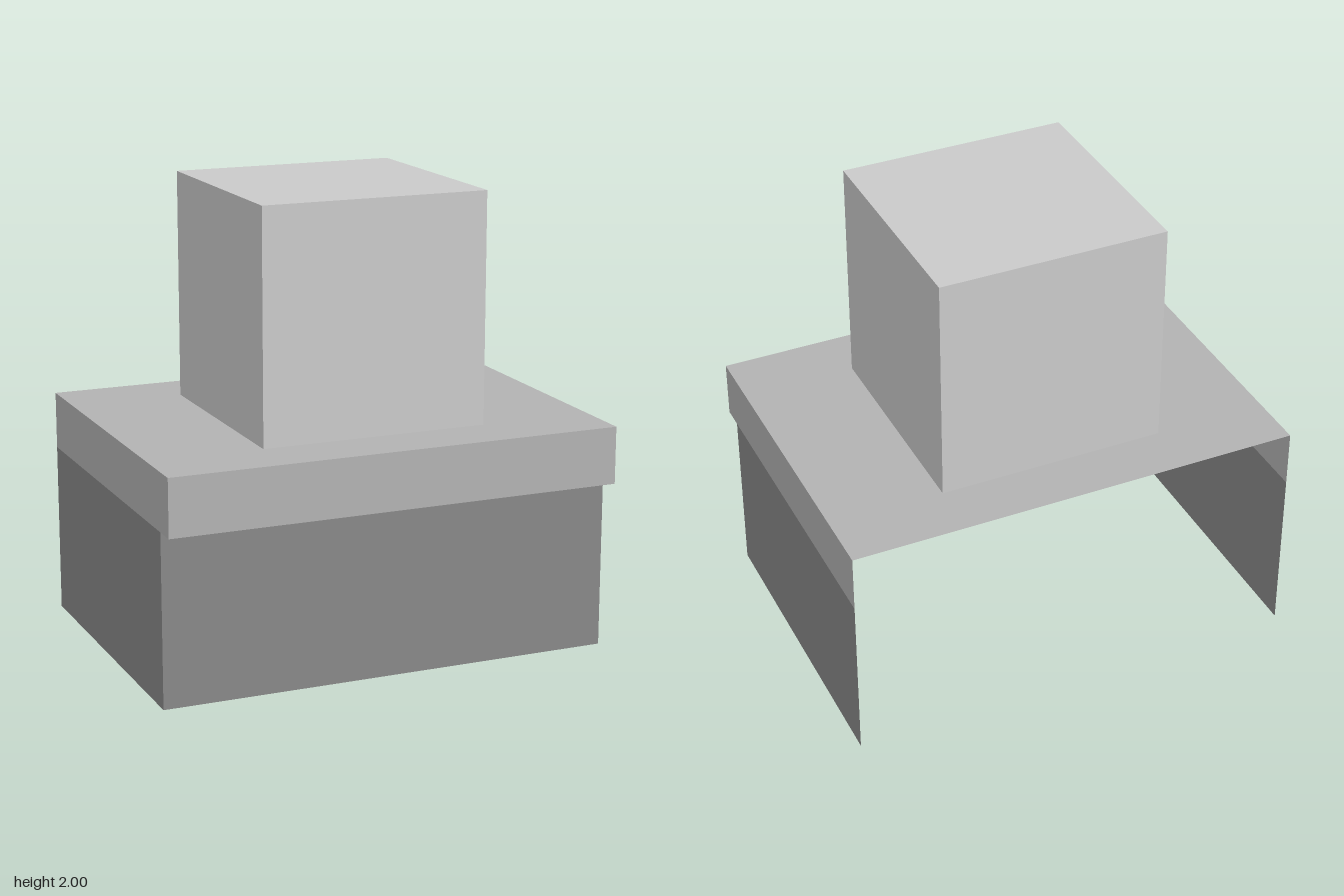
import * as THREE from 'three';

const material = (name, color) =>
  new THREE.MeshStandardMaterial({ name, color, side: THREE.DoubleSide });

export function createModel() {
  const lightGrey = material('light grey', 0xc9c9c9);
  const midGrey = material('mid grey', 0xb2b2b2);
  const darkGrey = material('dark grey', 0x888888);

  const model = new THREE.Group();
  model.name = 'openBackDesk';

  // Thin sheet of size w by h, centred at a position and turned about x and y
  function panel(name, mat, w, h, [x, y, z], rx = 0, ry = 0) {
    const mesh = new THREE.Mesh(new THREE.PlaneGeometry(w, h), mat);
    mesh.name = name;
    mesh.position.set(x, y, z);
    mesh.rotation.set(rx, ry, 0);
    model.add(mesh);
  }

  // Counter: top, front lip and the ledge under its overhang
  panel('counterTop', midGrey, 2, 1.5, [0, 1, 0], -Math.PI / 2);
  panel('counterLip', midGrey, 2, 0.25, [0, 0.875, 0.75]);
  panel('overhangUnderside', midGrey, 2, 0.1, [0, 0.75, 0.7], Math.PI / 2);

  // Front wall, set back below the lip; the back stays open
  panel('frontWall', darkGrey, 2, 0.75, [0, 0.375, 0.65]);

  // Side bands and walls, mirrored
  for (const [label, s] of [['left', 1], ['right', -1]]) {
    const turn = s * Math.PI / 2;
    panel(label + 'CounterBand', midGrey, 1.5, 0.25, [s, 0.875, 0], 0, turn);
    panel(label + 'Wall', darkGrey, 1.4, 0.75, [s, 0.375, -0.05], 0, turn);
  }

  // Block on the counter, without its hidden bottom face
  const blockGeometry = new THREE.BoxGeometry(1, 1, 1);
  const index = Array.from(blockGeometry.index.array);
  index.splice(18, 6);
  blockGeometry.setIndex(index);
  blockGeometry.clearGroups();
  const block = new THREE.Mesh(blockGeometry, lightGrey);
  block.name = 'topBlock';
  block.position.y = 1.5;
  model.add(block);

  return model;
}
